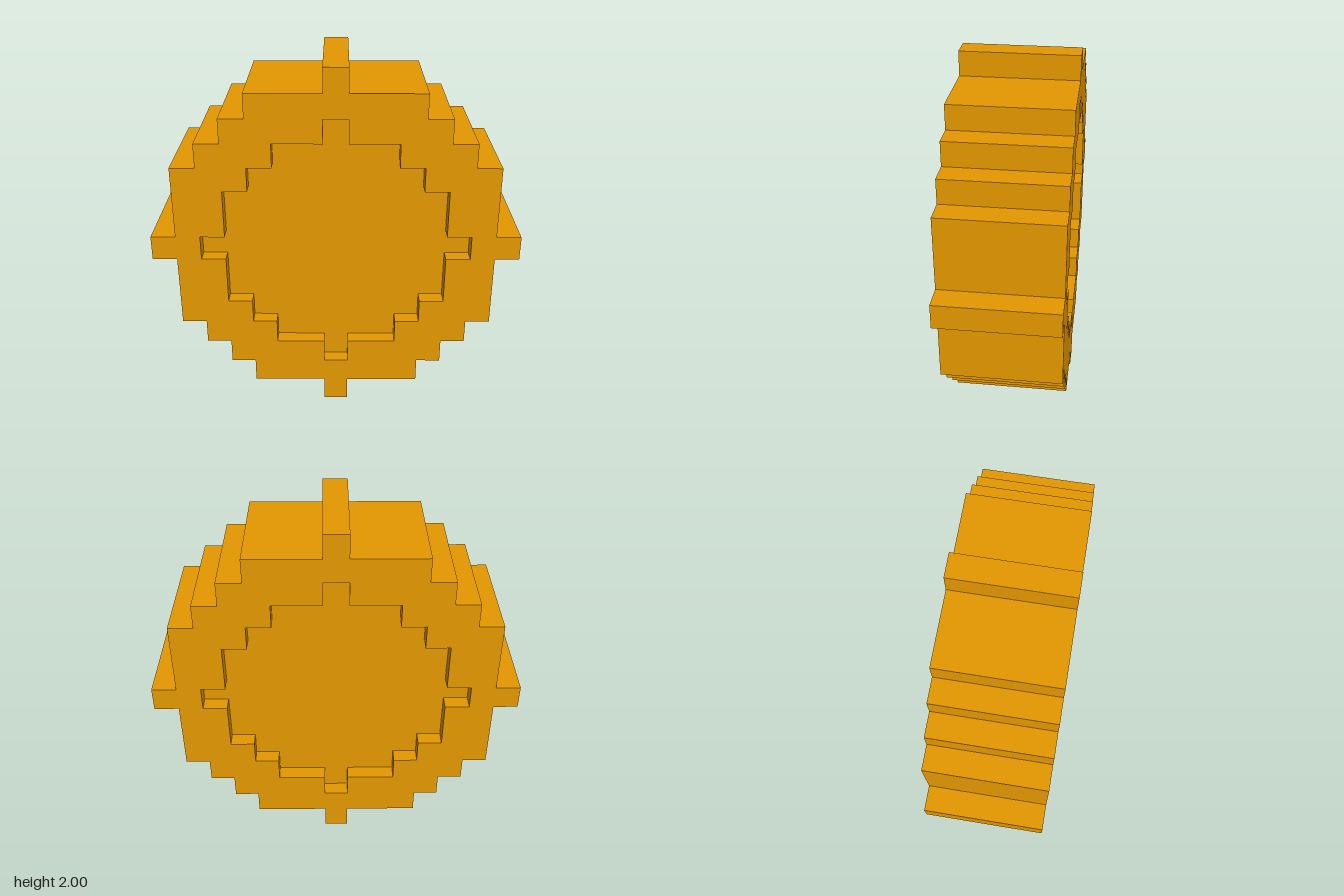
import * as THREE from 'three';

const U = 2 / 15;          // size of one step
const DEPTH = 0.634;       // full thickness of the rim
const RECESS = 0.083;      // how far the panel sits behind each rim face

// Corners of the upper right quarter as [x, y] in steps, from the right to the top
const OUTER = [[7.5, 0.5], [6.5, 0.5], [6.5, 3.5], [5.5, 3.5], [5.5, 4.5], [4.5, 4.5],
  [4.5, 5.5], [3.5, 5.5], [3.5, 6.5], [0.5, 6.5], [0.5, 7.5]];
const INNER = [[5.5, 0.5], [4.5, 0.5], [4.5, 2.5], [3.5, 2.5], [3.5, 3.5], [2.5, 3.5],
  [2.5, 4.5], [0.5, 4.5], [0.5, 5.5]];

// Turn the quarter outline counter-clockwise round the centre to close the ring
function outline(quarter) {
  const points = [];
  for (let k = 0; k < 4; k++) {
    for (const [x, y] of quarter) {
      const [px, py] = [[x, y], [-y, x], [-x, -y], [y, -x]][k];
      points.push(new THREE.Vector2(px * U, py * U));
    }
  }
  return points;
}

function slab(name, shape, depth, material) {
  const geometry = new THREE.ExtrudeGeometry(shape, { depth, bevelEnabled: false });
  geometry.translate(0, 1, -depth / 2);
  const mesh = new THREE.Mesh(geometry, material);
  mesh.name = name;
  return mesh;
}

export function createModel() {
  const group = new THREE.Group();
  group.name = 'steppedWheel';
  const material = new THREE.MeshStandardMaterial({ color: 0xe49800, flatShading: true });

  // Stepped rim with four teeth; the hole runs clockwise so its walls face inward
  const rim = new THREE.Shape(outline(OUTER));
  rim.holes.push(new THREE.Path(outline(INNER).reverse()));
  group.add(slab('rim', rim, DEPTH, material));

  // Panel filling the opening, sunk on both faces
  group.add(slab('centrePanel', new THREE.Shape(outline(INNER)), DEPTH - 2 * RECESS, material));
  return group;
}
